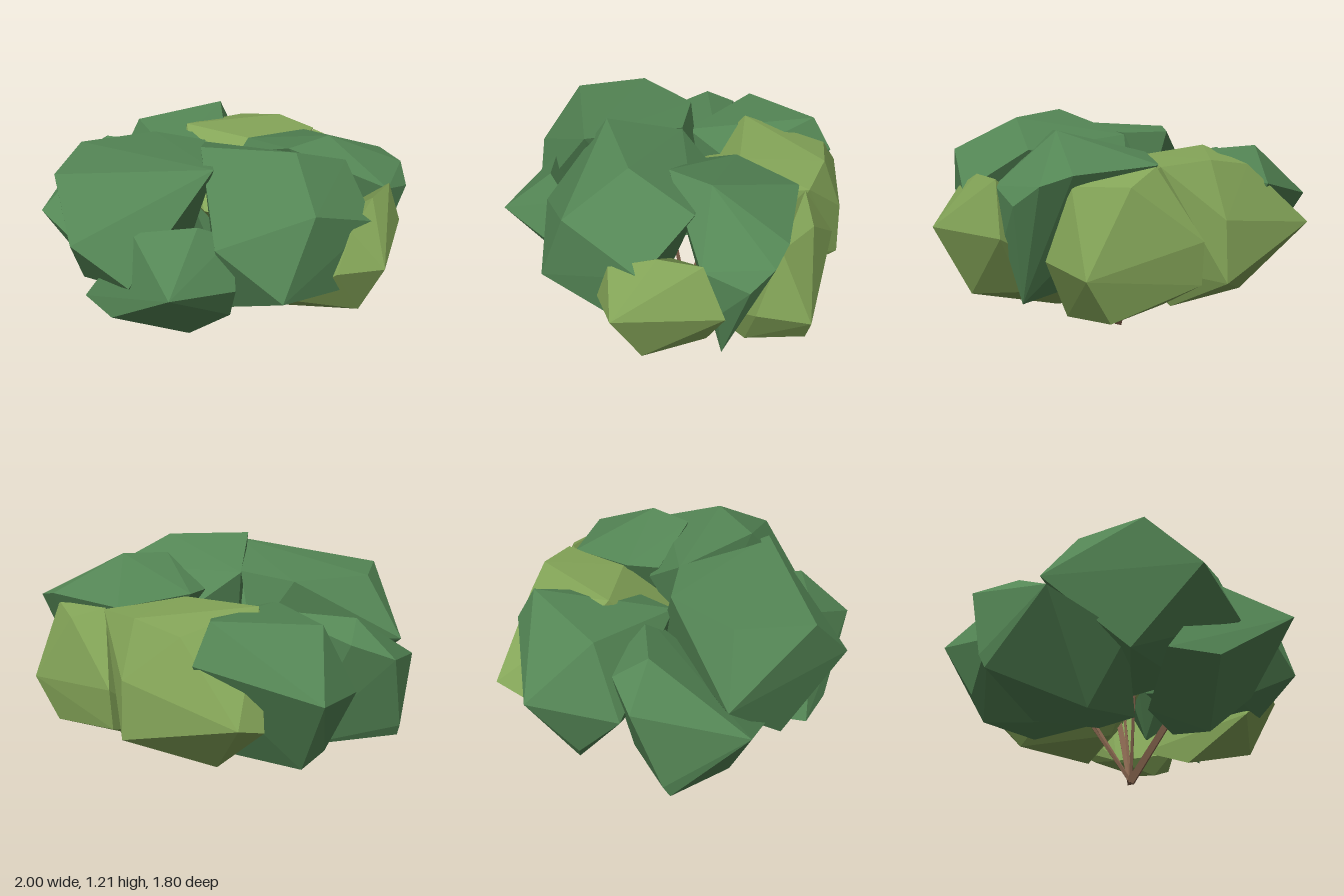
import * as THREE from 'three';
import { ConvexGeometry } from 'three/addons/geometries/ConvexGeometry.js';

const material = (name, color) => {
  const m = new THREE.MeshStandardMaterial({ color, flatShading: true });
  m.name = name;
  return m;
};

export function createModel() {
  const bush = new THREE.Group();
  bush.name = 'bush';
  const deepGreen = material('deep green leaves', 0x548655);
  const oliveGreen = material('olive green leaves', 0x84a558);
  const bark = material('brown bark', 0x80604a);

  const add = (name, geometry, mat) => {
    const mesh = new THREE.Mesh(geometry, mat);
    mesh.name = name;
    bush.add(mesh);
    return mesh;
  };

  // A faceted leaf clump stretched over a few corner points
  const clump = (name, mat, ...corners) =>
    add(name, new ConvexGeometry(corners.map((c) => new THREE.Vector3(...c))), mat);

  // Deep green clumps
  clump('frontRightClump', deepGreen,
    [-0.54, 1.06, 0.67], [0.22, 1.15, 0.43], [-0.66, 1.08, 0.3], [-0.87, 0.77, 0.3],
    [-0.33, 0.8, 0.85], [-0.04, 0.62, 0.8], [-0.4, 1.08, -0.02], [-0.08, 1.09, -0.02],
    [-0.52, 0.41, 0.55], [-0.1, 0.4, 0.45], [-0.2, 0.75, -0.1], [-0.15, 0.42, 0.1]);
  clump('frontLeftClump', deepGreen,
    [0.1, 1.21, 0.34], [0.51, 1.19, 0.14], [0.65, 1.06, -0.19], [0.89, 0.86, 0.02],
    [0.73, 1.02, 0.41], [0.66, 0.62, 0.57], [0.33, 0.84, 0.62], [0.8, 0.52, 0.17],
    [-0.08, 1.08, -0.02], [0.3, 0.42, 0.45], [0.3, 0.4, 0], [0, 0.5, 0.05], [0.05, 0.95, -0.2]);
  clump('lowFrontClump', deepGreen,
    [0.25, 0.7, 0.9], [0.43, 0.64, 0.6], [0.24, 0.94, 0.62], [-0.08, 0.86, 0.69],
    [-0.41, 0.4, 0.68], [-0.17, 0.4, 0.78], [0.08, 0.18, 0.45], [0.35, 0.42, 0.5],
    [-0.2, 0.27, 0.3], [0.15, 0.28, 0.1], [0.36, 0.86, 0.5]);
  clump('rightSideClump', deepGreen,
    [-1, 0.82, -0.12], [-1, 0.42, 0.02], [-0.98, 0.35, 0.05], [-0.9, 0.66, 0.41],
    [-0.57, 0.18, 0.3], [-0.2, 0.26, 0.2], [-0.82, 0.89, -0.23], [-0.77, 0.97, -0.07],
    [-0.36, 0.96, -0.16], [-0.5, 0.5, 0.5], [-0.55, 0.27, -0.2], [-0.2, 0.29, -0.1]);
  clump('backRightClump', deepGreen,
    [-0.89, 0.75, -0.63], [-0.36, 1.06, -0.71], [-0.34, 0.88, -0.82], [-0.72, 1.0, -0.33],
    [-0.3, 0.96, -0.02], [-0.07, 0.92, -0.27], [-0.85, 0.65, -0.2], [-0.7, 0.3, -0.45],
    [-0.8, 0.42, -0.42], [-0.35, 0.3, -0.5], [-0.12, 0.36, -0.15]);
  clump('backLeftClump', deepGreen,
    [0.23, 1.0, -0.65], [0.7, 0.99, -0.62], [0.84, 0.95, -0.57], [0.91, 0.86, -0.47],
    [0.53, 1.15, -0.25], [0.4, 1.13, -0.03], [0.03, 1.02, -0.32], [0.06, 1.0, -0.15],
    [0.87, 0.92, -0.25], [0.88, 0.68, -0.33], [0.8, 0.37, -0.35], [0.3, 0.4, -0.3]);

  // Olive clumps
  clump('leftSideOliveClump', oliveGreen,
    [1, 0.68, 0.14], [0.92, 0.7, -0.37], [0.83, 0.86, 0.18], [0.85, 0.95, -0.05],
    [0.87, 0.95, -0.26], [0.8, 0.65, 0.25], [0.55, 0.45, 0.29], [0.86, 0.34, 0.03],
    [0.75, 0.4, -0.27], [0.36, 0.19, 0], [0.4, 0.6, 0], [0.2, 0.27, -0.2]);
  clump('backLeftOliveClump', oliveGreen,
    [0.74, 0.56, -0.76], [0.77, 0.6, -0.5], [0.69, 0.94, -0.59], [0.47, 0.93, -0.73],
    [0.28, 1.0, -0.68], [0.13, 0.66, -0.85], [0.13, 0.45, -0.84], [0.6, 0.34, -0.75],
    [0.35, 0.18, -0.28], [0.62, 0.3, -0.45], [0.15, 0.3, -0.6], [0.4, 0.3, -0.18],
    [0.12, 0.24, -0.35]);
  clump('backOliveClump', oliveGreen,
    [-0.61, 0.66, -0.87], [-0.65, 0.6, -0.72], [0.02, 0.45, -0.9], [0.02, 0.75, -0.88],
    [-0.24, 0.98, -0.77], [0.02, 1.02, -0.77], [0.27, 1.0, -0.7], [0.05, 1.01, -0.34],
    [-0.38, 1.03, -0.33], [-0.35, 0.3, -0.65], [0.1, 0.28, -0.6], [0.25, 0.5, -0.5],
    [-0.25, 0.72, -0.08], [0.08, 0.7, 0.05], [-0.05, 0.7, 0.05], [0, 0.34, -0.25]);

  // Thin stems fanning out from the foot into the leaves
  const foot = new THREE.Vector3(-0.02, 0.015, -0.05);
  const up = new THREE.Vector3(0, 1, 0);
  const tips = [[0.12, 0.5, 0.28], [-0.28, 0.5, -0.25], [-0.1, 0.5, -0.36], [0.14, 0.5, -0.36],
    [0.05, 0.5, -0.2], [-0.08, 0.5, 0.05]];
  tips.forEach((tip, i) => {
    const along = new THREE.Vector3(...tip).sub(foot);
    const width = i === 0 || i === 3 ? 0.026 : 0.012;
    const stem = add('stem', new THREE.CylinderGeometry(width * 0.8, width, along.length(), 4), bark);
    stem.position.copy(foot).addScaledVector(along, 0.5);
    stem.quaternion.setFromUnitVectors(up, along.normalize());
  });

  return bush;
}
